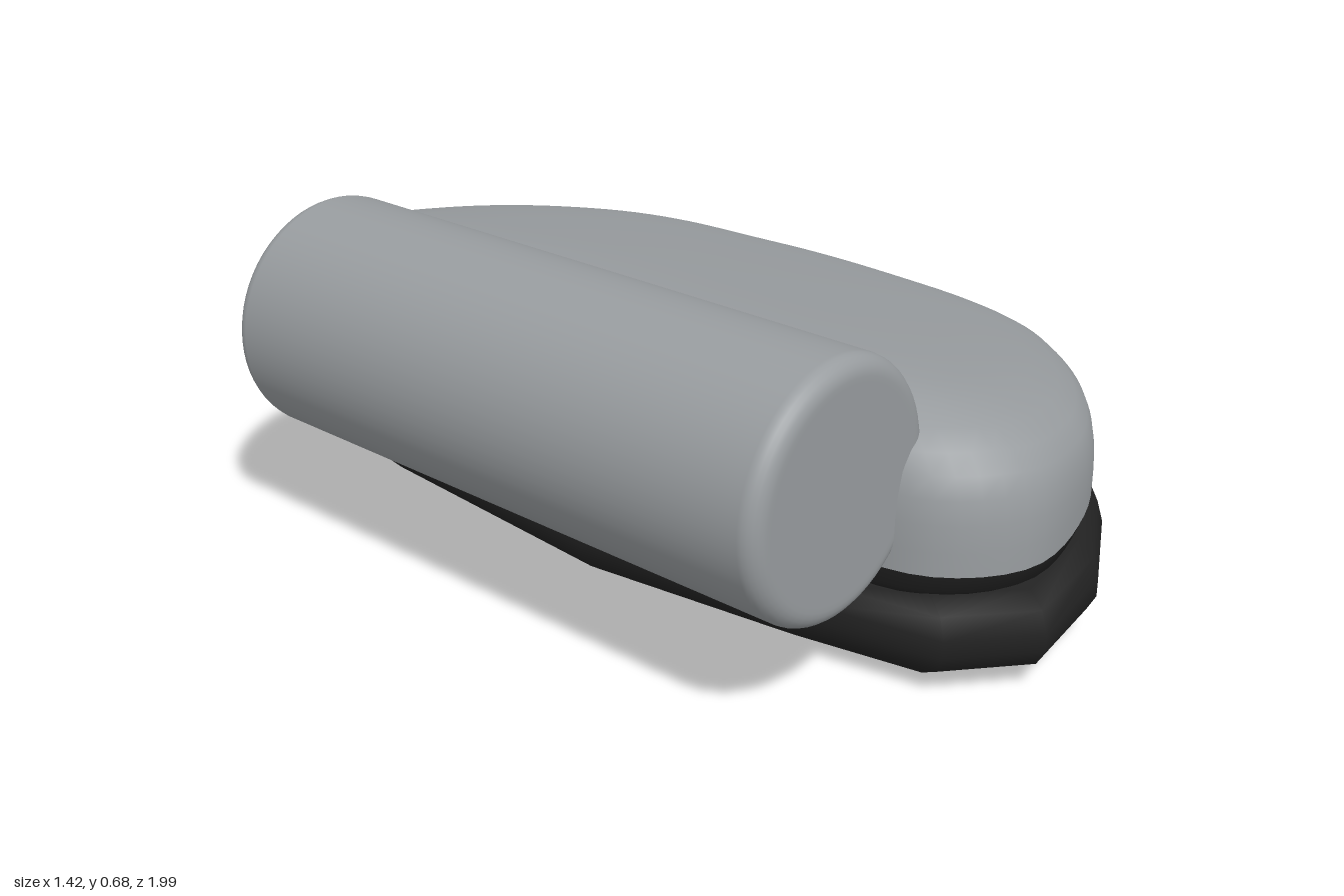
import * as THREE from 'three';

const CX = 0.15; // rings shrink towards this x

// Half-moon footprint [x, z], clockwise seen from above
const footprint = [
  [-0.17, -0.98], [0.05, -1.0], [0.28, -0.96], [0.46, -0.87], [0.59, -0.75], [0.66, -0.6],
  [0.69, -0.36], [0.71, -0.13], [0.69, 0.15], [0.66, 0.34], [0.595, 0.52], [0.46, 0.69],
  [0.27, 0.85], [0.06, 0.96], [-0.17, 0.99], [-0.31, 0.87], [-0.36, 0.6],
  [-0.42, 0.11], [-0.365, -0.55], [-0.31, -0.83],
];

// Stacks scaled copies of an outline; each ring is [scale, level], bottom to top
function loft(outline, rings, height) {
  const n = outline.length, pos = [], index = [];
  rings.forEach(([s, v], k) => {
    outline.forEach(([ox, oz], i) => {
      const x = CX + (ox - CX) * s;
      pos.push(x, height(x, v), oz * s);
      if (k === rings.length - 1) return;
      const a = k * n + i, b = k * n + (i + 1) % n;
      index.push(a, a + n, b, b, a + n, b + n);
    });
  });
  const g = new THREE.BufferGeometry();
  g.setAttribute('position', new THREE.Float32BufferAttribute(pos, 3));
  g.setIndex(index);
  g.computeVertexNormals();
  return g;
}

export function createModel() {
  const model = new THREE.Group();
  model.name = 'daybed';
  const fabric = new THREE.MeshStandardMaterial({ color: 0x989c9f });
  fabric.name = 'grey fabric';
  const dark = new THREE.MeshStandardMaterial({ color: 0x222222 });
  dark.name = 'black base';
  const add = (name, geometry, material) => {
    const mesh = new THREE.Mesh(geometry, material);
    mesh.name = name;
    model.add(mesh);
    return mesh;
  };

  // Faceted padded base
  add('base', loft(footprint, [
    [0, 0], [0.6, 0], [0.82, 0.007], [0.93, 0.025], [0.98, 0.055], [1, 0.09],
    [1, 0.125], [0.985, 0.165], [0.95, 0.19], [0.85, 0.195], [0, 0.195],
  ], (x, v) => v), dark);

  // Smooth cushion outline, slightly inside the base
  const curve = new THREE.CatmullRomCurve3(
    footprint.map(([x, z]) => new THREE.Vector3(Math.max(x, -0.345), 0, z * 0.958)), true);
  const soft = curve.getSpacedPoints(120).slice(0, 120).map((p) => [p.x, p.z]);

  // Dark underside of the cushion
  add('cushionBand', loft(soft, [
    [0.9, 0.18], [0.96, 0.187], [0.985, 0.205], [1, 0.24],
  ], (x, v) => v), dark);

  // Cushion with its top sloping down towards +x
  const top = (x) => 0.54 - 0.2 * Math.max(0, x + 0.2);
  add('cushion', loft(soft, [
    [1, 0], [1, 0.15], [0.998, 0.32], [0.99, 0.47], [0.975, 0.6], [0.945, 0.71], [0.9, 0.8],
    [0.83, 0.88], [0.74, 0.935], [0.6, 0.97], [0.4, 0.99], [0.2, 1], [0, 1],
  ], (x, v) => 0.24 + v * (top(x) - 0.24)), fabric);

  // Bolster with rounded rims
  const R = 0.237, H = 0.65, B = 0.035;
  const profile = [new THREE.Vector2(0, -H), new THREE.Vector2(R - B - 0.01, -H)];
  for (const side of [-1, 1]) {
    for (let i = 0; i <= 6; i++) {
      const a = (side < 0 ? i - 6 : i) / 6 * Math.PI / 2;
      profile.push(new THREE.Vector2(R - B + B * Math.cos(a), side * (H - B) + B * Math.sin(a)));
    }
  }
  profile.push(new THREE.Vector2(R - B - 0.01, H), new THREE.Vector2(0, H));
  const bolster = add('bolster', new THREE.LatheGeometry(profile, 64), fabric);
  bolster.rotation.x = Math.PI / 2;
  bolster.position.set(-0.478, 0.438, 0.122);

  return model;
}
